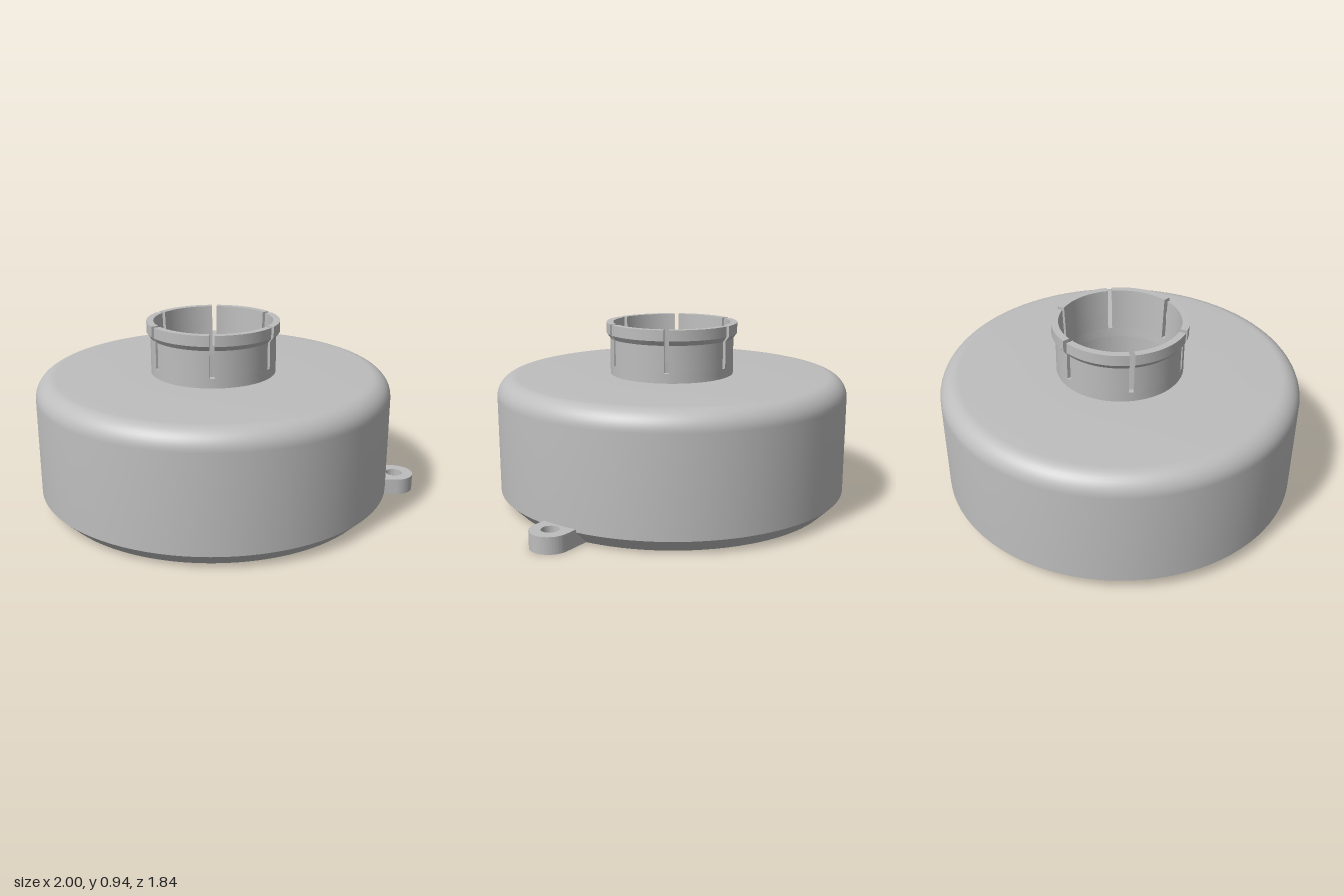
import * as THREE from 'three';
import { toCreasedNormals, mergeGeometries } from 'three/addons/utils/BufferGeometryUtils.js';

const CX = -0.08;      // axis of the round body
const BORE = 0.295;    // radius of the through hole
const grey = new THREE.MeshStandardMaterial({ color: 0xbdbdbd });
grey.name = 'light grey';

const vec = (list) => list.map(([r, y]) => new THREE.Vector2(r, y));
const lathe = (list, segments, start = 0, length = Math.PI * 2) =>
  toCreasedNormals(new THREE.LatheGeometry(vec(list), segments, start, length), 0.45);

function add(group, geometry, name, x = CX) {
  const mesh = new THREE.Mesh(geometry, grey);
  mesh.name = name;
  mesh.position.x = x;
  group.add(mesh);
}

// One snap finger: a swept section closed by a flat cap at either end
function fingerGeometry(section, start, length) {
  const cap = (sign, turn) => {
    const shape = new THREE.Shape(vec(section.map(([r, y]) => [sign * r, y])));
    return new THREE.ShapeGeometry(shape).toNonIndexed().rotateY(turn);
  };
  return mergeGeometries([
    lathe([...section, section[0]], 16, start, length),
    cap(1, start - Math.PI / 2),
    cap(-1, start + length + Math.PI / 2),
  ]);
}

export function createModel() {
  const model = new THREE.Group();
  model.name = 'collaredHousing';

  // Drum with chamfered foot, rounded shoulder and through bore
  const R = 0.92, H = 0.67, F = 0.1;
  const profile = [[BORE, 0], [0.85, 0], [R, 0.07]];
  for (let i = 0; i <= 10; i++) {
    const a = (i / 10) * Math.PI / 2;
    profile.push([R - F + F * Math.cos(a), H - F + F * Math.sin(a)]);
  }
  profile.push([BORE, H], [BORE, 0]);
  add(model, lathe(profile, 96), 'body');

  // Unslotted ring at the root of the collar
  const slotY = 0.72;
  add(model, lathe([[0.325, H], [0.325, slotY], [0.298, slotY], [BORE, H]], 96), 'collarBase');

  // Six fingers with an outward lip, separated by narrow slots
  const section = [
    [0.298, slotY], [0.325, slotY], [0.325, 0.86], [0.344, 0.885],
    [0.344, 0.94], [0.308, 0.94],
  ];
  const gap = 0.039;
  for (let i = 0; i < 6; i++) {
    const start = (i * Math.PI) / 3 + gap;
    add(model, fingerGeometry(section, start, Math.PI / 3 - 2 * gap), `collarFinger${i + 1}`);
  }

  // Mounting lug with a screw hole on the left side
  const lug = new THREE.Shape();
  lug.moveTo(-0.135, -0.1);
  lug.lineTo(0, -0.1);
  lug.absarc(0, 0, 0.1, -Math.PI / 2, Math.PI / 2, false);
  lug.lineTo(-0.135, 0.1);
  lug.closePath();
  const hole = new THREE.Path();
  hole.absarc(0, 0, 0.044, 0, Math.PI * 2, true);
  lug.holes.push(hole);
  const lugGeometry = new THREE.ExtrudeGeometry(lug, { depth: 0.085, bevelEnabled: false, curveSegments: 24 });
  lugGeometry.rotateX(-Math.PI / 2);
  add(model, toCreasedNormals(lugGeometry, 0.45), 'mountingLug', 0.9);

  return model;
}
